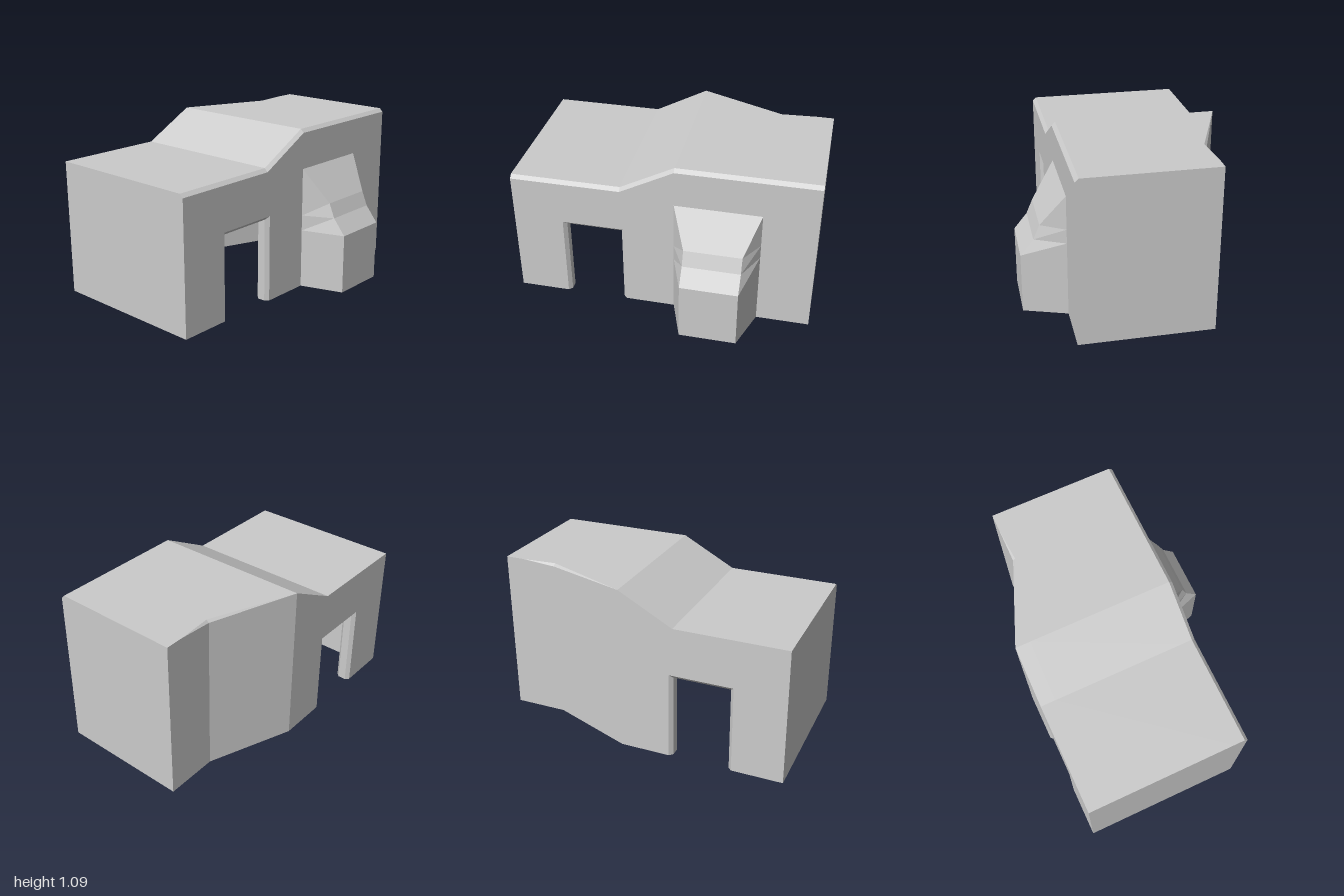
import * as THREE from 'three';

const material = new THREE.MeshStandardMaterial({ color: 0xcccccc, flatShading: true });
const T = 0.1; // wall thickness
const ROOF = 0.06; // roof thickness
const LOW = 0.9, HIGH = 1.09; // roof heights

// Joins equal-length rings of [x, y, z] into a closed solid; axis is the one the rings follow.
function loft(name, rings, axis) {
  const tris = [];
  const n = rings[0].length;
  for (let r = 0; r < rings.length - 1; r++) {
    const a = rings[r], b = rings[r + 1];
    for (let i = 0; i < n; i++) {
      const j = (i + 1) % n;
      tris.push([a[i], a[j], b[j]], [a[i], b[j], b[i]]);
    }
  }
  const [u, v] = [0, 1, 2].filter((k) => k !== axis);
  const cap = (ring, flip) => {
    const flat = ring.map((p) => new THREE.Vector2(p[u], p[v]));
    for (const face of THREE.ShapeUtils.triangulateShape(flat, [])) {
      const t = [...face].sort((p, q) => p - q).map((k) => ring[k]);
      tris.push(flip ? t.reverse() : t);
    }
  };
  cap(rings[0], true);
  cap(rings[rings.length - 1], false);

  // Drop empty triangles and turn the solid outward if its volume is negative.
  let volume = 0;
  const solid = tris.map((t) => t.map((p) => new THREE.Vector3(...p))).filter(([a, b, c]) => {
    volume += a.dot(b.clone().cross(c));
    return new THREE.Triangle(a, b, c).getArea() > 1e-7;
  });
  if (volume < 0) solid.forEach((t) => t.reverse());
  const geometry = new THREE.BufferGeometry().setFromPoints(solid.flat());
  geometry.computeVertexNormals();
  const mesh = new THREE.Mesh(geometry, material);
  mesh.name = name;
  return mesh;
}

// Wall outline with a doorway; grow widens the door, drop lowers the top edge.
function wallRing(z, xEnd, grow, drop = 0) {
  const left = -0.642 - grow, right = -0.268 + grow, top = 0.56 + grow;
  const ring = [[-1, 0], [left, 0], [left, top], [right, top], [right, 0], [xEnd, 0], [xEnd, HIGH - drop]];
  if (xEnd > 0.085) ring.push([0.085, HIGH - drop]);
  ring.push([-0.27, LOW - drop], [-1, LOW - drop]);
  return ring.map(([x, y]) => [x, y, z]);
}

function endWall(name, x, height, zBack) {
  const depth = 0.3 - zBack;
  const mesh = new THREE.Mesh(new THREE.BoxGeometry(T, height, depth), material);
  mesh.position.set(x, height / 2, 0.3 - depth / 2);
  mesh.name = name;
  return mesh;
}

export function createModel() {
  const group = new THREE.Group();
  group.name = 'building';
  const c = 0.023; // chamfer

  // Front wall: chamfered top edge, doorway chamfered inside and out
  group.add(loft('frontWall', [
    wallRing(0.4, 1, c, c), wallRing(0.4 - c, 1, 0), wallRing(0.3 + c, 1, 0), wallRing(0.3, 1, c),
  ], 2));

  // Straight part of the back wall with the matching doorway
  group.add(loft('backWall', [
    wallRing(-0.58, 0.085, c), wallRing(-0.58 - c, 0.085, 0),
    wallRing(-0.68 + c, 0.085, 0), wallRing(-0.68, 0.085, c),
  ], 2));

  // Angled part of the back wall: [x, outer z, outer top, roof edge z]
  group.add(loft('angledBackWall', [
    [0.085, -0.68, HIGH, -0.68], [0.65, -0.463, 1.073, -0.447],
    [0.88, -0.463, HIGH, -0.463], [1, -0.463, HIGH, -0.463],
  ].map(([x, z, top, edge]) => [
    [x, 0, z], [x, top, z], [x, HIGH, edge], [x, HIGH, z + T], [x, 0, z + T],
  ]), 0));

  // Roof slab between the walls: [x, height, back z]
  group.add(loft('roof', [
    [-1, LOW, -0.58], [-0.27, LOW, -0.58], [0.085, HIGH, -0.58], [0.65, HIGH, -0.363], [1, HIGH, -0.363],
  ].map(([x, y, z]) => [[x, y, 0.3], [x, y, z], [x, y - ROOF, z], [x, y - ROOF, 0.3]]), 0));

  group.add(endWall('rightEndWall', -0.95, LOW - ROOF, -0.58));
  group.add(endWall('leftEndWall', 0.95, HIGH - ROOF, -0.363));

  // Solid buttress, sloping back into the wall: [y, front z, front half width]
  const mid = 0.3675, half = 0.2825;
  const buttress = loft('buttress', [
    [0, 0.68, 0.188], [0.4, 0.68, 0.188], [0.505, 0.595, 0.188], [0.6, 0.555, 0.188], [0.825, 0.4, half],
  ].map(([y, z, w]) => [[mid - half, y, 0.4], [mid - w, y, z], [mid + w, y, z], [mid + half, y, 0.4]]), 1);
  group.add(buttress);

  return group;
}
